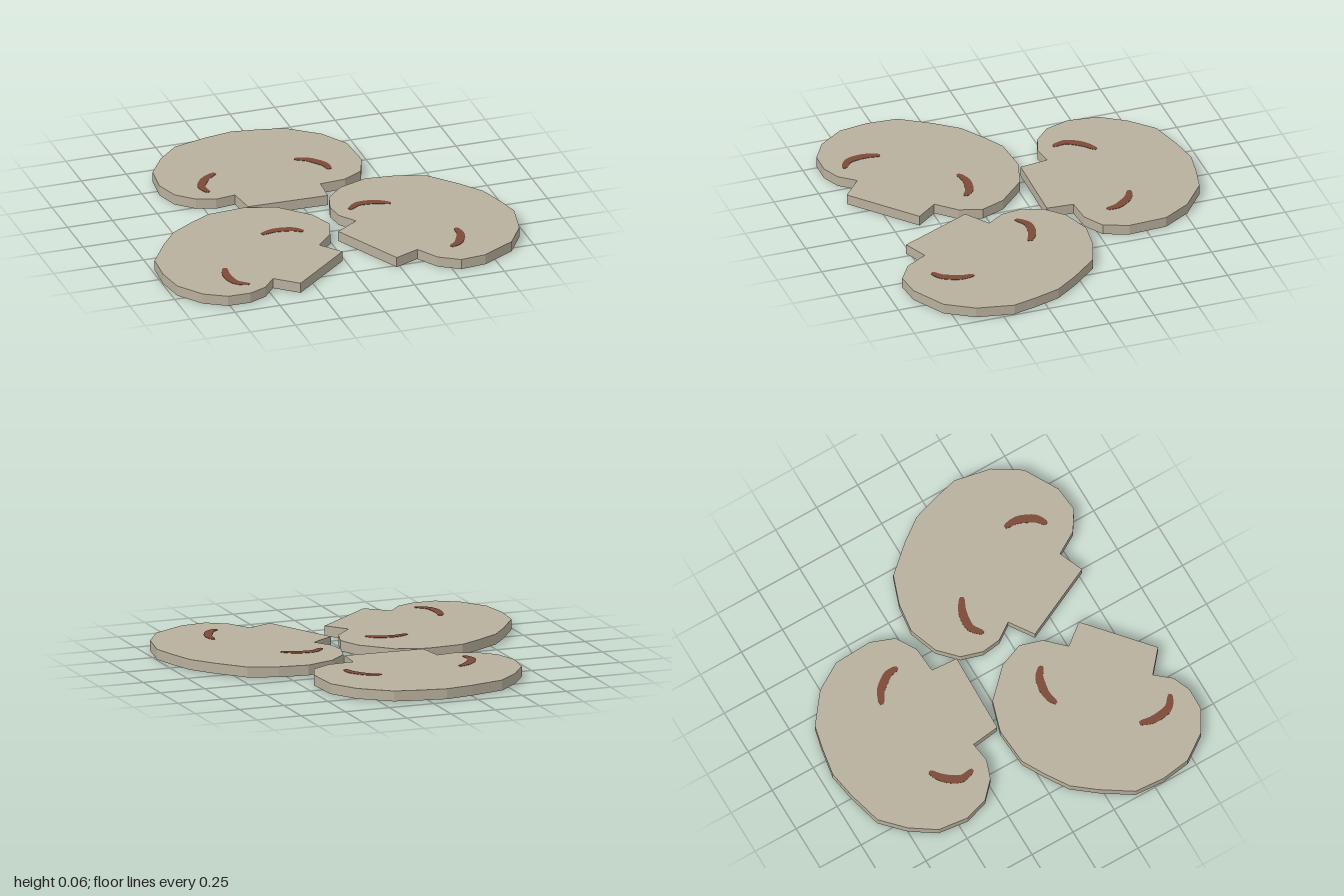
import * as THREE from 'three';

const flesh = new THREE.MeshStandardMaterial({ color: 0xb8b09d });
flesh.name = 'mushroom beige';
const brown = new THREE.MeshStandardMaterial({ color: 0x7c4a38 });
brown.name = 'gill brown';

const HEIGHT = 0.06, SKIN = 0.002;

// Cap and stem outline as [x, z], with the middle of the stem's cut end at the origin
const outline = [
  [-.01, -.885], [.14, -.86], [.27, -.83], [.43, -.705], [.52, -.555], [.53, -.345], [.48, -.215],
  [.37, -.15], [.23, -.14], [.22, .005], [-.22, -.005], [-.24, -.16], [-.35, -.145], [-.45, -.18],
  [-.54, -.265], [-.58, -.395], [-.56, -.56], [-.47, -.695], [-.35, -.81], [-.16, -.86],
];

// Centre lines of the two gill marks
const gills = {
  left: [[-.36, -.235], [-.375, -.305], [-.35, -.36], [-.31, -.405], [-.255, -.44]],
  right: [[.195, -.465], [.26, -.435], [.305, -.385], [.328, -.345], [.333, -.29]],
};

// Flat plate lying in the xz plane, from y = bottom to y = bottom + depth
function plate(points, bottom, depth) {
  const shape = new THREE.Shape(points.map(([x, z]) => new THREE.Vector2(x, -z)));
  return new THREE.ExtrudeGeometry(shape, { depth, bevelEnabled: false })
    .rotateX(-Math.PI / 2).translate(0, bottom, 0);
}

// Curved streak outline, widest in the middle with blunt ends
function streak(line) {
  const curve = new THREE.SplineCurve(line.map(([x, z]) => new THREE.Vector2(x, z)));
  const left = [], right = [], n = 16;
  for (let i = 0; i <= n; i++) {
    const p = curve.getPoint(i / n), d = curve.getTangent(i / n);
    const w = 0.008 + 0.015 * Math.sqrt(Math.max(0, Math.sin(Math.PI * i / n)));
    left.push([p.x - d.y * w, p.y + d.x * w]);
    right.unshift([p.x + d.y * w, p.y - d.x * w]);
  }
  return [...left, ...right];
}

function addMesh(group, name, geometry, material) {
  const mesh = new THREE.Mesh(geometry, material);
  mesh.name = name;
  group.add(mesh);
}

// One slice placed by its stem end and turned about the vertical
function createSlice(name, x, z, degrees) {
  const slice = new THREE.Group();
  slice.name = name;
  addMesh(slice, 'capAndStem', plate(outline, SKIN, HEIGHT - 2 * SKIN), flesh);
  // Gill marks on both faces
  for (const [side, line] of Object.entries(gills)) {
    const points = streak(line);
    addMesh(slice, side + 'GillTop', plate(points, HEIGHT - 2 * SKIN, 2 * SKIN), brown);
    addMesh(slice, side + 'GillBottom', plate(points, 0, 2 * SKIN), brown);
  }
  slice.position.set(x, 0, z);
  slice.rotation.y = THREE.MathUtils.degToRad(degrees);
  return slice;
}

export function createModel() {
  const model = new THREE.Group();
  model.name = 'mushroomSlices';
  model.add(
    createSlice('backSlice', -.09, -.055, 0),
    createSlice('rightFrontSlice', -.183, .753, 42.2),
    createSlice('leftFrontSlice', .135, .573, -63.3),
  );
  return model;
}
